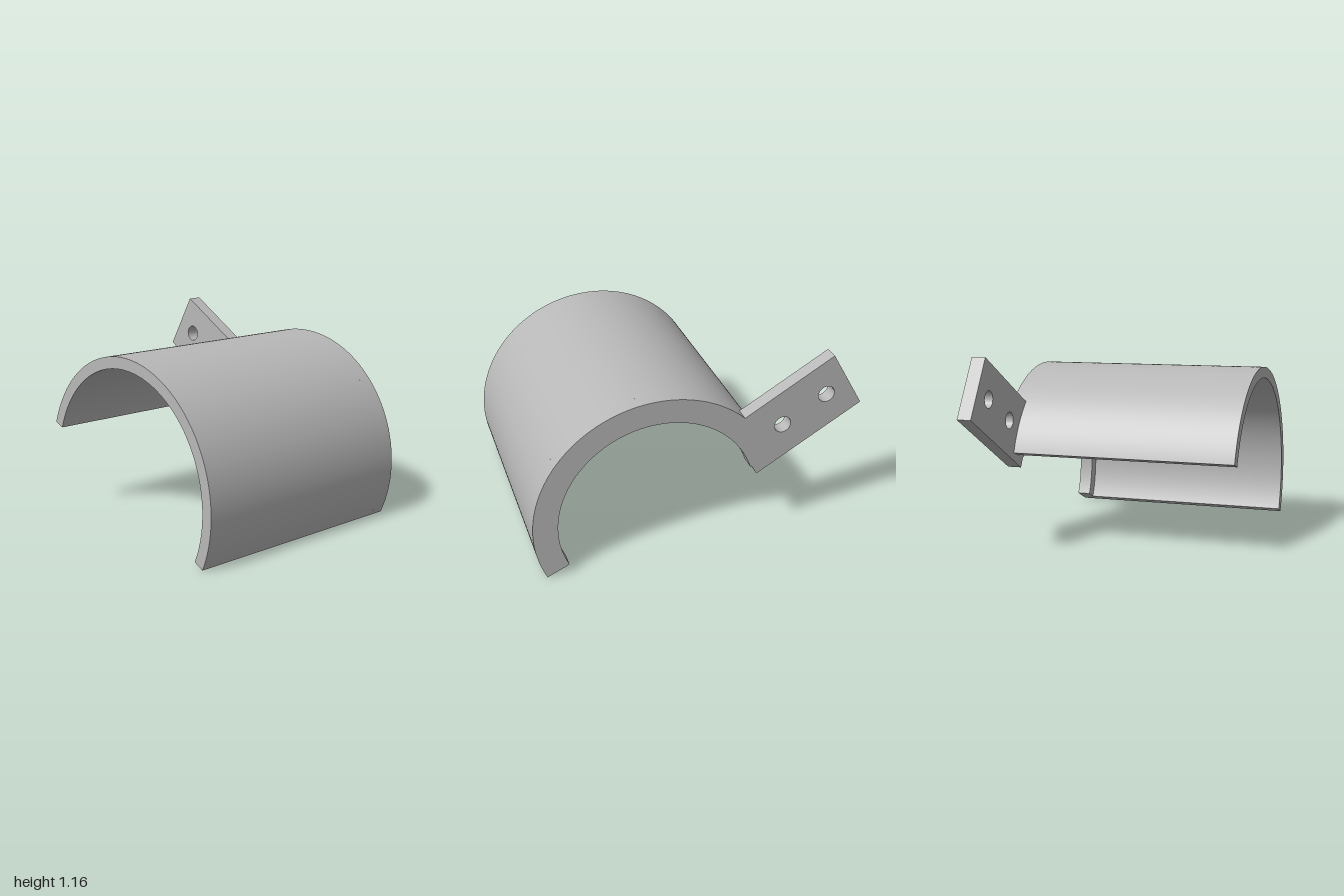
import * as THREE from 'three';
import { toCreasedNormals } from 'three/addons/utils/BufferGeometryUtils.js';

const CX = 0.254, CY = 0.312;                 // axis of the half pipe
const OUTER = 0.746, BORE = 0.676, LIP = 0.599;
const START = THREE.MathUtils.degToRad(-24.7);
const END = THREE.MathUtils.degToRad(161.4);
const BACK = -0.735, STEP = -0.648, FRONT = 0.735;

function extrude(name, shape, z0, z1, material) {
  const geometry = new THREE.ExtrudeGeometry(shape, { depth: z1 - z0, bevelEnabled: false, curveSegments: 64 });
  const mesh = new THREE.Mesh(toCreasedNormals(geometry, 0.4), material);
  mesh.name = name;
  mesh.position.z = z0;
  return mesh;
}

export function createModel() {
  const grey = new THREE.MeshStandardMaterial({ color: 0xb8b8b8 });
  grey.name = 'grey';
  const group = new THREE.Group();
  group.name = 'halfPipeBracket';

  // Thin curved shell
  const shell = new THREE.Shape();
  shell.absarc(CX, CY, OUTER, START, END, false);
  shell.absarc(CX, CY, BORE, END, START, true);
  shell.closePath();
  group.add(extrude('shell', shell, STEP, FRONT, grey));

  // Back rim with inward lip, in one piece with the slanted mounting tab
  const rim = new THREE.Shape();
  rim.absarc(CX, CY, OUTER, START, THREE.MathUtils.degToRad(134.2), false);
  rim.lineTo(-0.803, 1.157);
  rim.lineTo(-1, 0.816);
  rim.lineTo(-0.356, 0.445);
  rim.lineTo(-0.322, 0.505);
  rim.absarc(CX, CY, LIP, END, START, true);
  rim.closePath();

  // Screw holes
  for (const [x, y] of [[-0.772, 0.911], [-0.505, 0.757]]) {
    const hole = new THREE.Path();
    hole.absarc(x, y, 0.051, 0, Math.PI * 2, true);
    rim.holes.push(hole);
  }
  group.add(extrude('rimAndMountingTab', rim, BACK, STEP, grey));
  return group;
}
